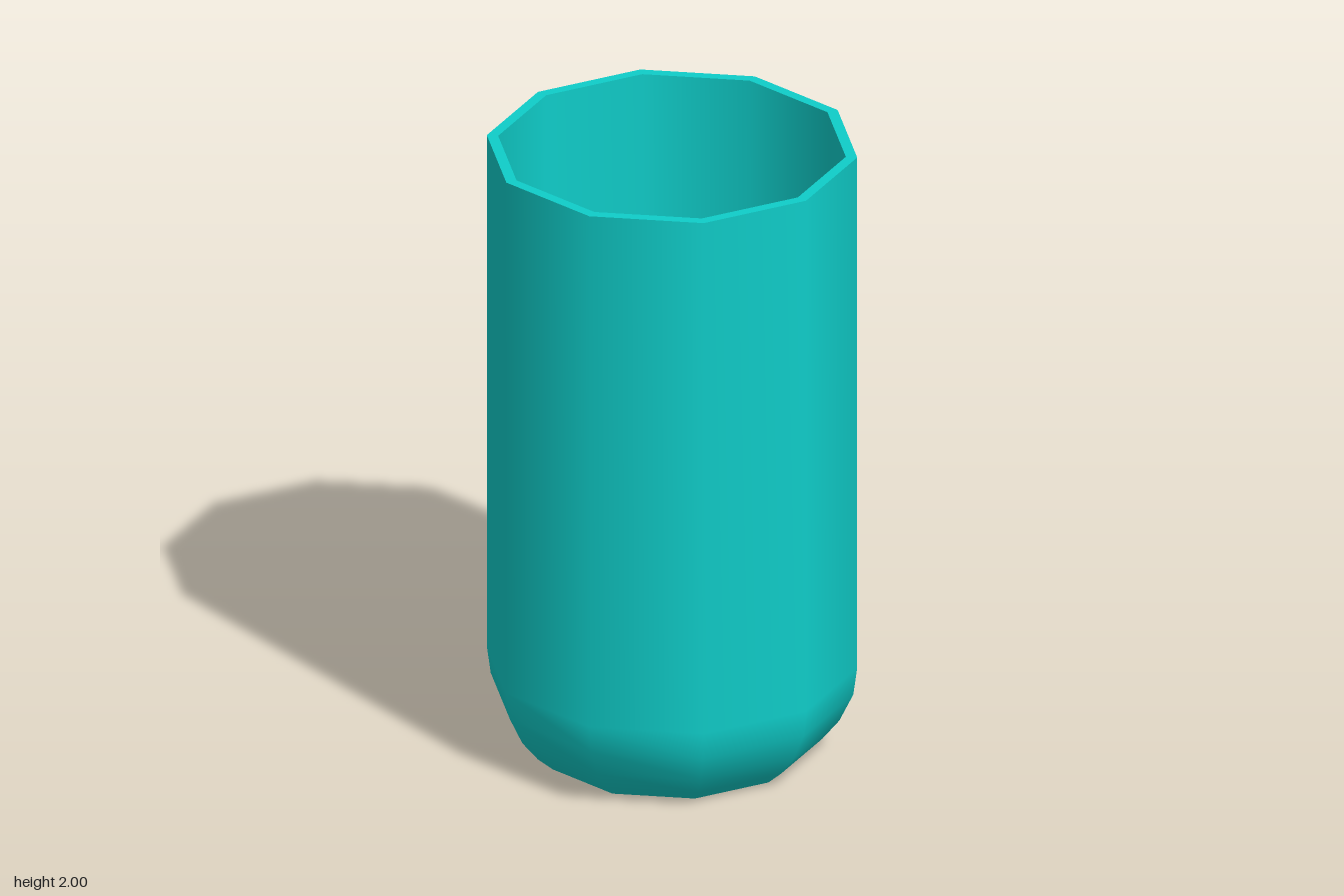
import * as THREE from 'three';
import { mergeGeometries } from 'three/addons/utils/BufferGeometryUtils.js';

const SIDES = 10;
const OUTER = 0.57, INNER = 0.535, HEIGHT = 2, LEVEL = 1.1;

// Ten-sided surface of revolution, with a corner on the z axis
const turn = (points) =>
  new THREE.LatheGeometry(points.map(([r, y]) => new THREE.Vector2(r, y)), SIDES);

export function createModel() {
  const group = new THREE.Group();
  group.name = 'cupWithDrink';

  // Separate strips keep the rim and base edges sharp and the walls smooth
  const strips = [
    [[0, 0], [0.41, 0]], // underside
    [[0.41, 0], [0.462, 0.045], [0.515, 0.11], [0.558, 0.2], [OUTER, 0.29], [OUTER, HEIGHT]], // outer wall
    [[OUTER, HEIGHT], [INNER, HEIGHT]], // rim
    [[INNER, HEIGHT], [INNER, 0.29], [0.523, 0.21], [0.48, 0.12], [0.39, 0.04]], // inner wall
    [[0.39, 0.04], [0, 0.04]], // inner floor
  ];
  const cup = new THREE.Mesh(
    mergeGeometries(strips.map(turn)),
    new THREE.MeshStandardMaterial({ color: 0x0fcdc9 })
  );
  cup.name = 'cup';
  group.add(cup);

  // Flat liquid surface filling the cup from wall to wall
  const drink = new THREE.Mesh(
    turn([[INNER, LEVEL], [0, LEVEL]]),
    new THREE.MeshStandardMaterial({ color: 0x80cc10 })
  );
  drink.name = 'drinkSurface';
  group.add(drink);

  return group;
}
